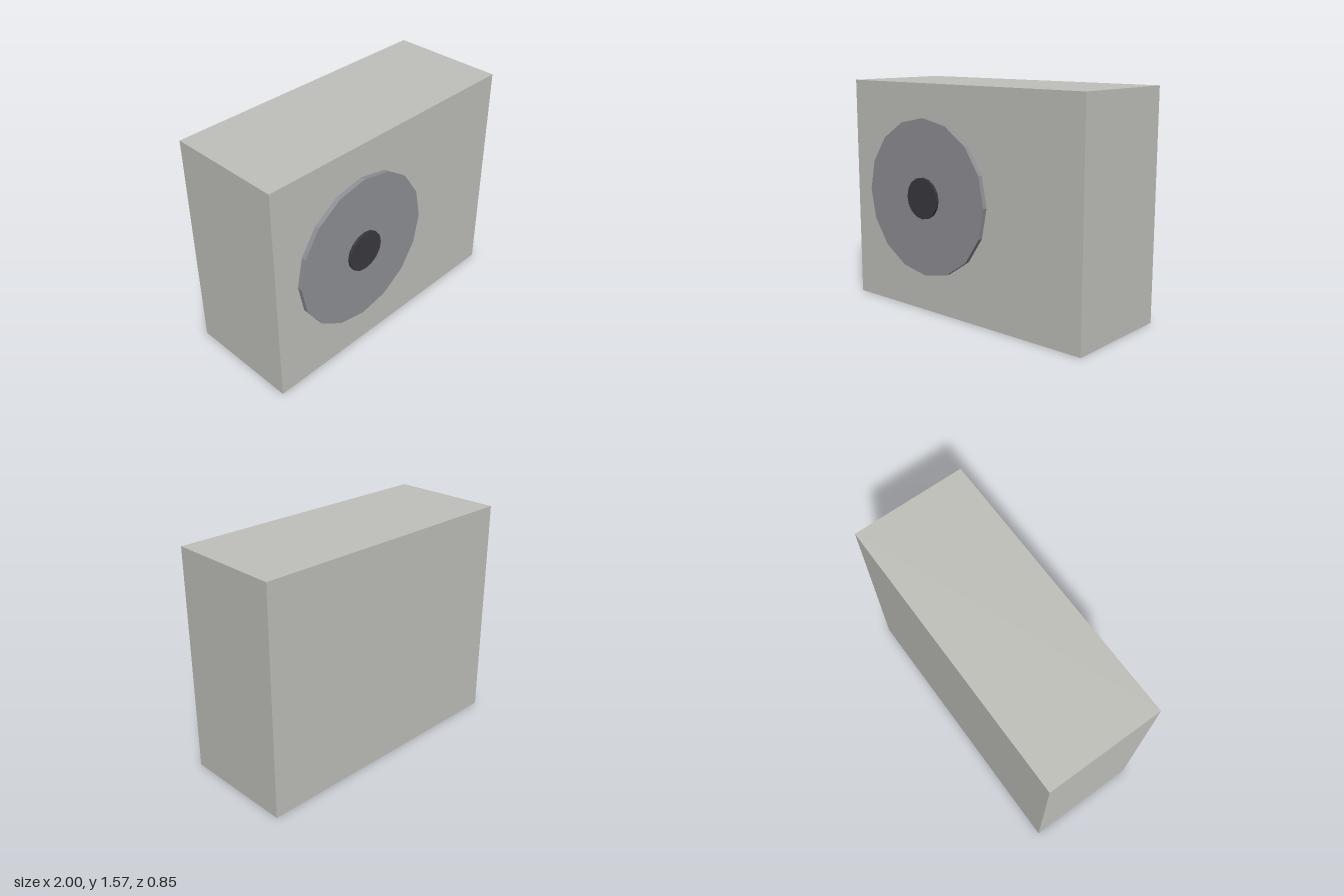
import * as THREE from 'three';

export function createModel() {
  const model = new THREE.Group();
  model.name = 'fanUnit';

  const material = (name, color) => {
    const m = new THREE.MeshStandardMaterial({ color, flatShading: true });
    m.name = name;
    return m;
  };
  const casingGrey = material('casingGrey', 0xc0c0bb);
  const grilleGrey = material('grilleGrey', 0x909196);
  const hubDark = material('hubDark', 0x3a393e);

  const add = (name, geometry, mat, x, y, z) => {
    const mesh = new THREE.Mesh(geometry, mat);
    mesh.name = name;
    mesh.position.set(x, y, z);
    model.add(mesh);
  };

  // Short cylinder facing forward, running from z = 0 to z = depth
  const disc = (radius, depth) =>
    new THREE.CylinderGeometry(radius, radius, depth, 16)
      .rotateX(Math.PI / 2)
      .translate(0, 0, depth / 2);

  // Casing
  add('casing', new THREE.BoxGeometry(2, 1.57, 0.8), casingGrey, 0, 0.785, -0.025);

  // Fan grille and its hub, slightly sunk into the part behind
  add('fanGrille', disc(0.54, 0.05), grilleGrey, -0.287, 0.802, 0.357);
  add('fanHub', disc(0.142, 0.03), hubDark, -0.287, 0.802, 0.395);

  return model;
}
